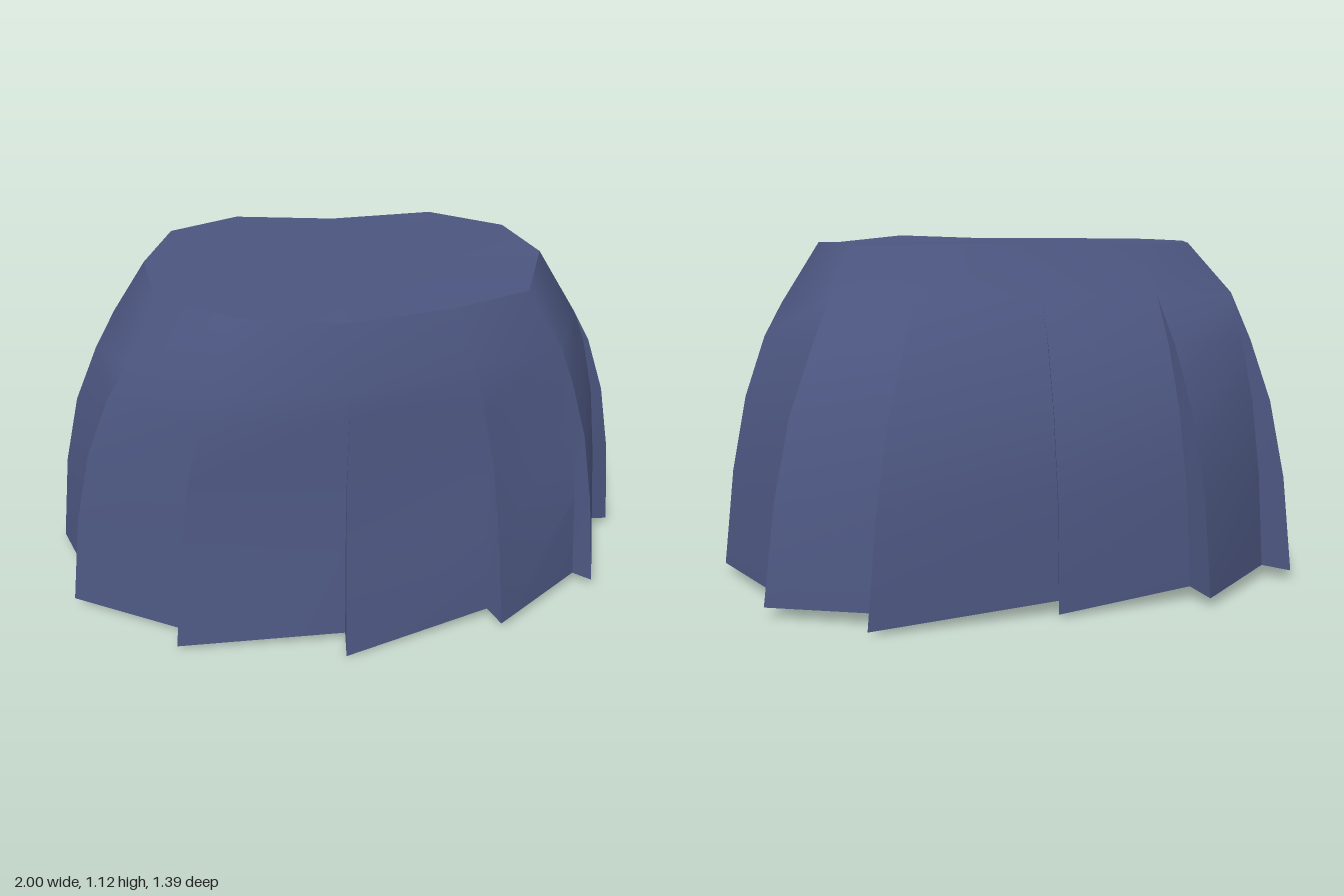
import * as THREE from 'three';
import { toCreasedNormals } from 'three/addons/utils/BufferGeometryUtils.js';

// Twelve stations around the skirt, from the middle of the back by way of +x.
const WAIST = [[0, 1.11, -0.285], [0.34, 1.113, -0.315], [0.575, 1.11, -0.19], [0.655, 1.113, 0.04],
  [0.565, 1.105, 0.31], [0.32, 1.124, 0.45], [-0.01, 1.11, 0.5], [-0.34, 1.11, 0.44],
  [-0.575, 1.11, 0.285], [-0.625, 1.11, 0.03], [-0.55, 1.11, -0.215], [-0.33, 1.11, -0.325]];
const FOLD_START = [[0, 0.95, -0.385], [0.4, 0.95, -0.385], [0.65, 0.95, -0.27], [0.78, 0.91, 0.085],
  [0.67, 0.93, 0.35], [0.38, 0.95, 0.5], [0, 0.9, 0.55], [-0.4, 0.9, 0.52],
  [-0.67, 0.92, 0.36], [-0.735, 0.94, 0.03], [-0.66, 0.95, -0.33], [-0.38, 0.95, -0.39]];
// Hem corners: the outer tip that ends one pleat, and the inner corner that starts the next
const TIP = [[0.02, 0.015, -0.68], [0.6, 0.015, -0.7], [0.885, 0.035, -0.465], [0.995, 0.03, 0.055],
  [0.85, 0.035, 0.41], [0.5, 0.03, 0.605], [-0.02, 0.003, 0.695], [-0.565, 0.02, 0.63],
  [-0.92, 0.035, 0.385], [-1, 0.02, 0], [-0.83, 0.035, -0.49], [-0.465, 0.03, -0.685]];
const INNER = [[0.01, 0.045, -0.64], [0.54, 0.045, -0.64], [0.83, 0.045, -0.41], [0.93, 0.045, 0.075],
  [0.79, 0.045, 0.38], [0.46, 0.05, 0.55], [-0.02, 0.045, 0.63], [-0.56, 0.045, 0.57],
  [-0.86, 0.045, 0.34], [-0.925, 0.045, -0.005], [-0.75, 0.045, -0.44], [-0.43, 0.045, -0.6]];
const N = WAIST.length;

// Flare of the cloth at each level below the waistband
const LEVELS = [
  { y: 0.8, x: 0.28, back: 0.36, front: 0.08 },
  { y: 0.6, x: 0.6, back: 0.67, front: 0.2 },
  { y: 0.35, x: 0.83, back: 0.9, front: 0.5 },
];

// Column of points from the start of a fold down to a hem corner
function column(start, end) {
  const lerp = THREE.MathUtils.lerp;
  const inFront = THREE.MathUtils.smoothstep(end[2], -0.2, 0.5);
  const middle = LEVELS.map((l) => [
    lerp(start[0], end[0], l.x),
    l.y,
    lerp(start[2], end[2], lerp(l.back, l.front, inFront)),
  ]);
  return [start, ...middle, end];
}

// Strip of faces between two columns of points
function strip(out, a, b) {
  for (let k = 0; k < a.length - 1; k++) {
    out.push(...a[k], ...b[k], ...b[k + 1]);
    out.push(...a[k], ...b[k + 1], ...a[k + 1]);
  }
}

function toGeometry(positions) {
  const g = new THREE.BufferGeometry();
  g.setAttribute('position', new THREE.Float32BufferAttribute(positions, 3));
  return toCreasedNormals(g, 0.8);
}

export function createModel() {
  const group = new THREE.Group();
  group.name = 'pleatedSkirt';
  const cloth = new THREE.MeshStandardMaterial({ color: 0x4c5680, side: THREE.DoubleSide });
  cloth.name = 'navyCloth';

  // Waistband, pleats and the narrow returns between them
  const skirt = [];
  for (let i = 0; i < N; i++) {
    const j = (i + 1) % N;
    const inner = column(FOLD_START[i], INNER[i]);
    const tip = column(FOLD_START[i], TIP[i]);
    const nextTip = column(FOLD_START[j], TIP[j]);
    strip(skirt, [WAIST[i]], [WAIST[j]]);
    strip(skirt, [WAIST[i], FOLD_START[i]], [WAIST[j], FOLD_START[j]]);
    strip(skirt, inner, nextTip);
    strip(skirt, tip, inner);
  }
  const skirtMesh = new THREE.Mesh(toGeometry(skirt), cloth);
  skirtMesh.name = 'pleats';

  // Closed top of the waist
  const cap = [];
  for (let i = 0; i < N; i++) cap.push(0, 1.11, 0.07, ...WAIST[(i + 1) % N], ...WAIST[i]);
  const capMesh = new THREE.Mesh(toGeometry(cap), cloth);
  capMesh.name = 'waistTop';

  group.add(skirtMesh, capMesh);
  return group;
}
